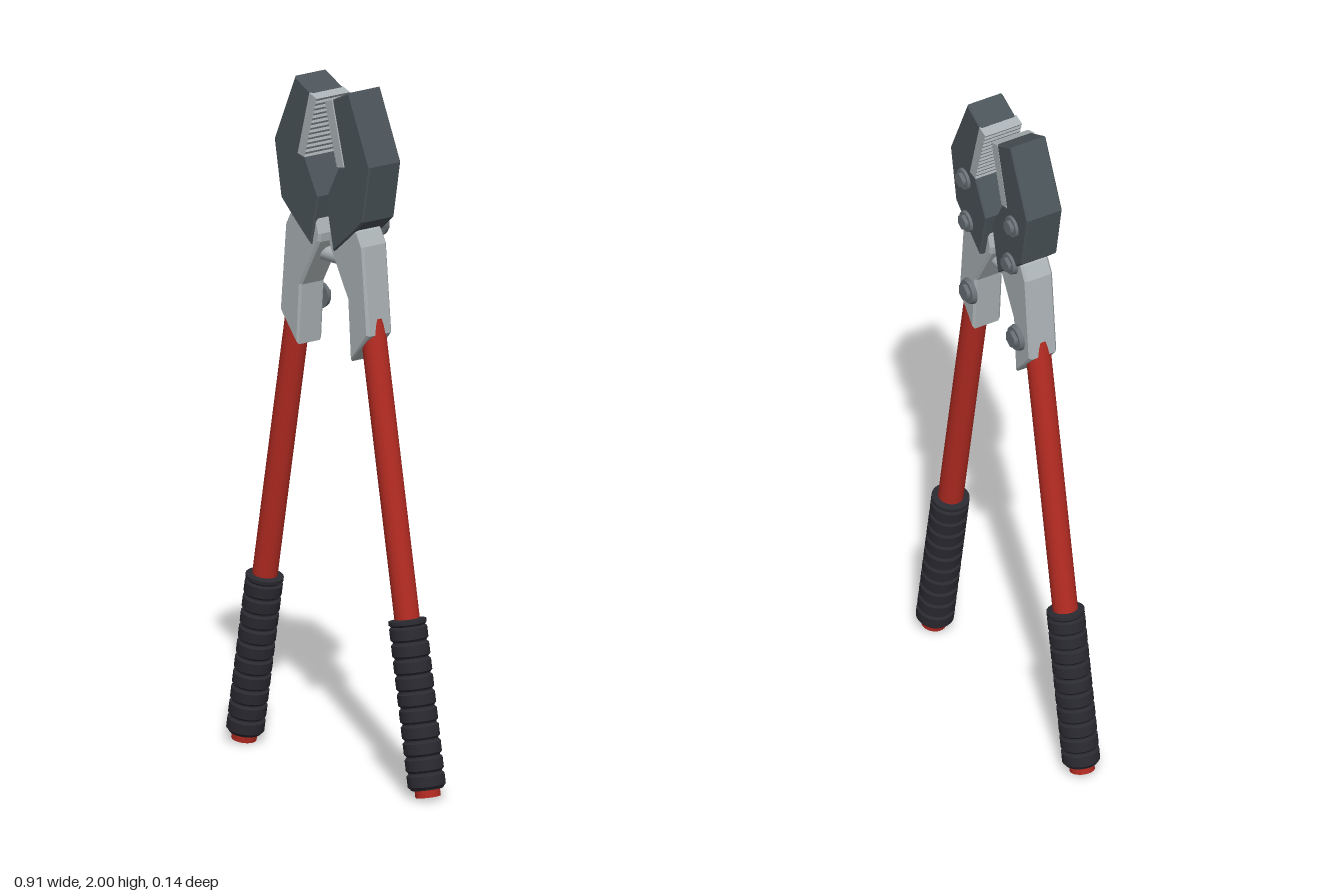
import * as THREE from 'three';

const mat = (name, color) => {
  const m = new THREE.MeshStandardMaterial({ color });
  m.name = name;
  return m;
};

// Mirrored outline extruded from z0 to z1 with a small bevel that stays inside the outline
function plate(name, points, side, z0, z1, bevel, material) {
  const shape = new THREE.Shape(points.map(([x, y]) => new THREE.Vector2(x * side, y)));
  const geometry = new THREE.ExtrudeGeometry(shape, {
    depth: z1 - z0 - 2 * bevel,
    bevelEnabled: bevel > 0,
    bevelSize: bevel,
    bevelThickness: bevel,
    bevelOffset: -bevel,
    bevelSegments: 1,
  });
  geometry.translate(0, 0, z0 + bevel);
  const mesh = new THREE.Mesh(geometry, material);
  mesh.name = name;
  return mesh;
}

export function createModel() {
  const red = mat('red paint', 0xb32b22);
  const rubber = mat('black rubber', 0x2a2a31);
  const darkSteel = mat('dark steel', 0x4b5459);
  const lightSteel = mat('light steel', 0xacb3b6);
  const boltSteel = mat('bolt steel', 0x697176);

  const model = new THREE.Group();
  model.name = 'longHandledCutter';

  const cylinder = (name, r0, r1, length, sides, material) => {
    const mesh = new THREE.Mesh(new THREE.CylinderGeometry(r0, r1, length, sides), material);
    mesh.name = name;
    return mesh;
  };

  // Bolt on the back face, pointing to -z
  const makeBolt = (x, y, z, r) => {
    const bolt = new THREE.Group();
    bolt.name = 'bolt';
    const washer = cylinder('boltWasher', r * 0.9, r, 0.014, 24, boltSteel);
    const head = cylinder('boltHead', r * 0.66, r * 0.72, 0.014, 6, boltSteel);
    head.position.y = 0.011;
    bolt.add(washer, head);
    bolt.rotation.x = -Math.PI / 2;
    bolt.position.set(x, y, z);
    return bolt;
  };

  // Ribbed grip profile, turned around the handle axis
  const gripProfile = [[0.034, 0.022], [0.046, 0.022]];
  const ribs = 10, start = 0.026, pitch = 0.0465;
  for (let i = 0; i < ribs; i++) {
    const y = start + i * pitch;
    gripProfile.push([0.048, y], [0.054, y + 0.006], [0.054, y + pitch - 0.01], [0.048, y + pitch - 0.004]);
  }
  const gripTop = start + ribs * pitch;
  gripProfile.push([0.054, gripTop + 0.002], [0.054, gripTop + 0.012], [0.034, gripTop + 0.016]);
  const gripGeometry = new THREE.LatheGeometry(gripProfile.map(([x, y]) => new THREE.Vector2(x, y)), 32)
    .toNonIndexed();
  gripGeometry.computeVertexNormals();

  const jawOutline = [
    [0.12, 2], [0.212, 1.8], [0.182, 1.635], [0.125, 1.585], [0.05, 1.525],
    [0.016, 1.67], [0.074, 1.775], [0.095, 1.78], [0.045, 1.965],
  ];
  const bracketOutline = [
    [0.15, 1.6], [0.173, 1.56], [0.197, 1.305], [0.118, 1.218], [0.103, 1.395],
    [0.022, 1.535], [0.018, 1.56], [0.03, 1.6], [0.07, 1.625], [0.12, 1.625],
  ];

  // Cutting edge with fine teeth
  const bladeOutline = [[0.102, 1.78], [0.05, 1.966]];
  const teeth = 12;
  for (let i = 0; i <= teeth * 2; i++) {
    const t = i / (teeth * 2);
    bladeOutline.push([0.016 + 0.054 * t + (i % 2) * 0.004, 1.955 - 0.18 * t]);
  }

  for (const side of [1, -1]) {
    const half = new THREE.Group();
    half.name = side > 0 ? 'leftHalf' : 'rightHalf';

    half.add(
      plate('jaw', jawOutline, side, -0.055, 0.06, 0.004, darkSteel),
      plate('blade', bladeOutline, side, -0.056, 0.064, 0, lightSteel),
      plate('bracket', bracketOutline, side, -0.037, 0.053, 0.007, lightSteel),
      makeBolt(side * 0.133, 1.737, -0.056, 0.034),
      makeBolt(side * 0.118, 1.6, -0.056, 0.034),
      makeBolt(side * 0.13, 1.345, -0.044, 0.039),
    );

    // Slanted handle with its rubber grip
    const handle = new THREE.Group();
    handle.name = 'handle';
    const tube = cylinder('handleTube', 0.036, 0.036, 1.36, 32, red);
    tube.position.y = 0.68;
    const grip = new THREE.Mesh(gripGeometry, rubber);
    grip.name = 'grip';
    handle.add(tube, grip);
    handle.position.set(side * 0.409, 0.0067, 0.008);
    handle.rotation.z = side * Math.atan(0.1875);
    half.add(handle);

    model.add(half);
  }

  // Bar linking both brackets
  const link = cylinder('linkBar', 0.022, 0.022, 0.24, 24, lightSteel);
  link.rotation.z = Math.PI / 2;
  link.position.set(0, 1.492, 0.004);
  model.add(link);

  return model;
}
